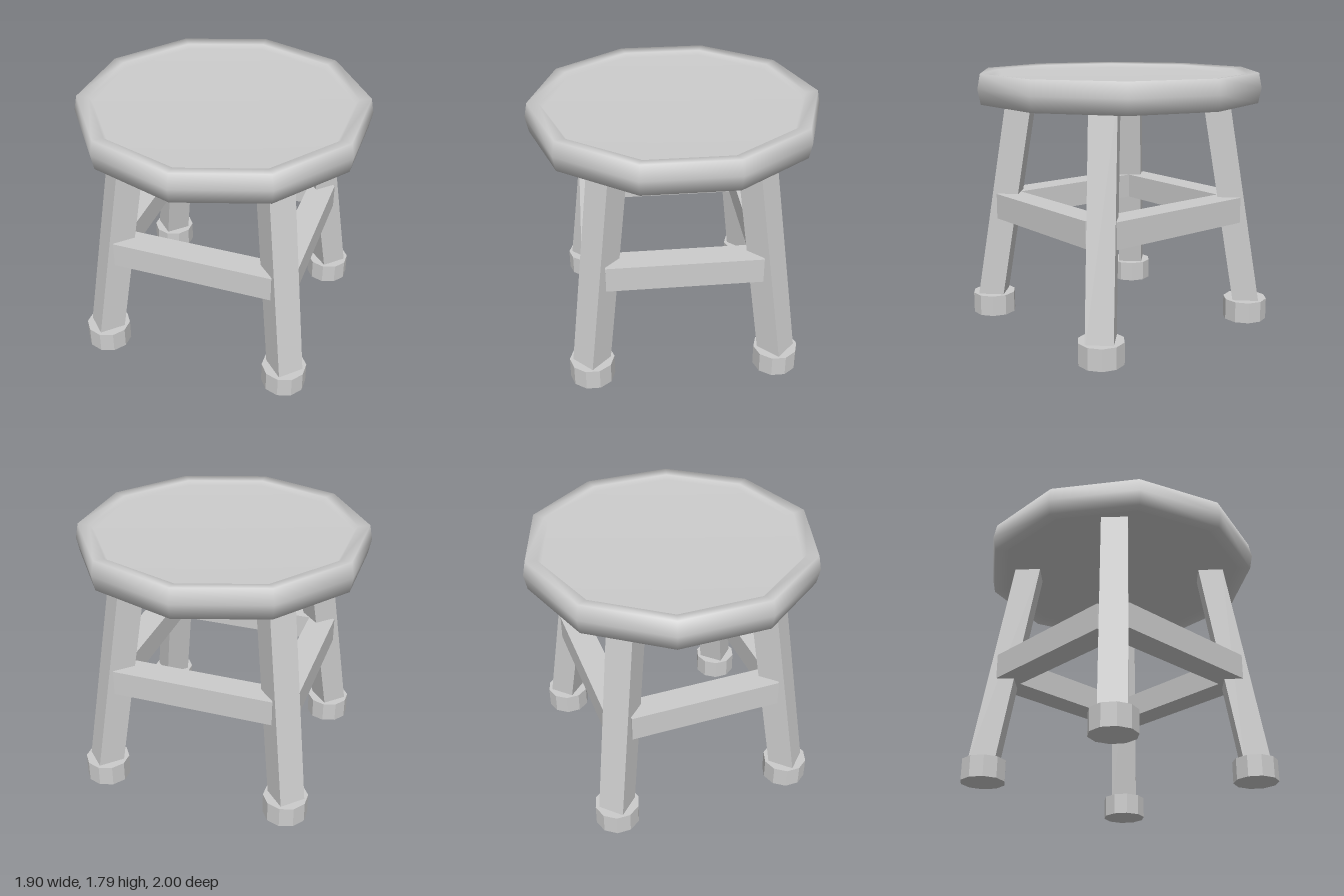
import * as THREE from 'three';

export function createModel() {
  const group = new THREE.Group();
  const grey = new THREE.MeshStandardMaterial({ color: 0xcccccc });
  grey.name = 'plain grey';

  const add = (name, geometry, x = 0, y = 0, z = 0) => {
    const mesh = new THREE.Mesh(geometry, grey);
    mesh.name = name;
    mesh.position.set(x, y, z);
    group.add(mesh);
  };

  // Ten-sided seat with a smooth rim and slightly sunken top and underside
  const profile = [
    [0, 1.625], [0.875, 1.625], [0.9, 1.595], [0.98, 1.585], [1, 1.688],
    [0.98, 1.79], [0.9, 1.78], [0.875, 1.75], [0, 1.75],
  ].map(([r, y]) => new THREE.Vector2(r, y));
  add('seat', new THREE.LatheGeometry(profile, 10));

  // Square leg turned 45 degrees, sheared outwards towards the floor
  const slope = 0.118;
  const legGeometry = (sx, sz) => {
    const bottom = 0.1, top = 1.68;
    const g = new THREE.CylinderGeometry(0.13, 0.13, top - bottom, 4).toNonIndexed();
    g.translate(0, (top + bottom) / 2, 0);
    const p = g.attributes.position;
    for (let i = 0; i < p.count; i++) {
      const lean = slope * (p.getY(i) - 0.15);
      p.setX(i, p.getX(i) + sx * (0.67 - lean));
      p.setZ(i, p.getZ(i) + sz * (0.645 - lean));
    }
    g.computeVertexNormals();
    return g;
  };

  // Ten-sided foot pad with flat faces
  const foot = new THREE.CylinderGeometry(0.155, 0.155, 0.15, 10).toNonIndexed();
  foot.computeVertexNormals();

  for (const sx of [-1, 1]) {
    for (const sz of [-1, 1]) {
      const place = (sz > 0 ? 'front' : 'back') + (sx > 0 ? 'Left' : 'Right');
      add(place + 'Leg', legGeometry(sx, sz));
      add(place + 'Foot', foot, sx * 0.668, 0.075, sz * 0.645);
    }
  }

  // Square rungs joining neighbouring legs
  const longRung = new THREE.BoxGeometry(1.12, 0.18, 0.185);
  const sideRung = new THREE.BoxGeometry(0.185, 0.18, 1.05);
  for (const s of [-1, 1]) {
    add(s > 0 ? 'frontRung' : 'backRung', longRung, 0, 0.82, s * 0.582);
    add(s > 0 ? 'leftRung' : 'rightRung', sideRung, s * 0.605, 0.82, 0);
  }

  return group;
}
